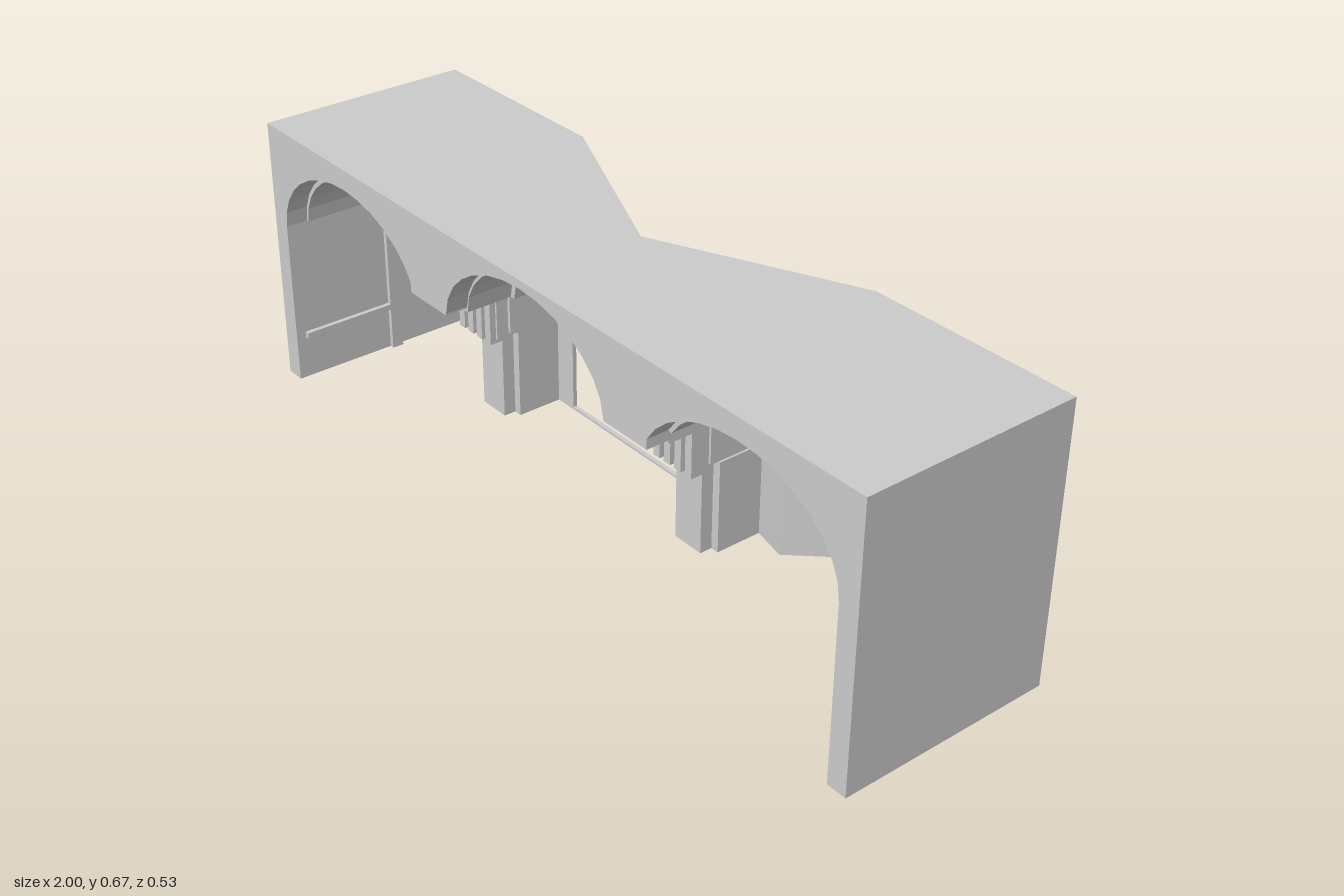
import * as THREE from 'three';

const mat = new THREE.MeshStandardMaterial({ color: 0xcccccc, flatShading: true, side: THREE.DoubleSide });
const TOP = 0.67, HZ = 0.265, BASE = 0.14;

// Points along an elliptical arch between two angles
function arc(cx, cy, rx, ry, a0, a1, n = 14) {
  const pts = [];
  for (let i = 0; i <= n; i++) {
    const a = a0 + (a1 - a0) * i / n;
    pts.push([cx + rx * Math.cos(a), cy + ry * Math.sin(a)]);
  }
  return pts;
}

function mesh(name, geo) {
  const m = new THREE.Mesh(geo, mat);
  m.name = name;
  return m;
}

const toShape = pts => new THREE.Shape(pts.map(p => new THREE.Vector2(p[0], p[1])));

// Upright slab from an outline in x and y, spanning z0 to z1
function slab(name, pts, z0, z1, holes = []) {
  const shape = toShape(pts);
  holes.forEach(h => shape.holes.push(toShape(h)));
  const geo = new THREE.ExtrudeGeometry(shape, { depth: z1 - z0, bevelEnabled: false });
  geo.translate(0, 0, z0);
  return mesh(name, geo);
}

function box(name, x0, x1, y0, y1, z0, z1) {
  const geo = new THREE.BoxGeometry(x1 - x0, y1 - y0, z1 - z0);
  geo.translate((x0 + x1) / 2, (y0 + y1) / 2, (z0 + z1) / 2);
  return mesh(name, geo);
}

// Curved strip between two concentric arches
function band(name, cx, cy, rx, ry, t, a0, a1, z0, z1) {
  const outer = arc(cx, cy, rx, ry, a0, a1);
  const inner = arc(cx, cy, rx - t, ry - t, a0, a1).reverse();
  return slab(name, outer.concat(inner), z0, z1);
}

// Sheet standing on a plan path, each point being [x, z, top]
function sheet(name, path) {
  const pos = [], idx = [];
  path.forEach(([x, z, top], i) => {
    pos.push(x, BASE, z, x, top, z);
    if (i) idx.push(2 * i - 2, 2 * i - 1, 2 * i, 2 * i, 2 * i - 1, 2 * i + 1);
  });
  const geo = new THREE.BufferGeometry();
  geo.setAttribute('position', new THREE.Float32BufferAttribute(pos, 3));
  geo.setIndex(idx);
  geo.computeVertexNormals();
  return mesh(name, geo);
}

// Everything repeated on both sides of the centre
function sideBay() {
  const g = new THREE.Group();

  g.add(box('outerWall', 0.95, 1, 0, TOP, -HZ, HZ));
  g.add(slab('backWall', [
    [0.375, BASE], [0.58, BASE], [0.58, 0.35], [0.67, 0.41], [0.83, 0.41], [0.91, 0.35],
    [0.91, 0], [1, 0], [1, TOP], [0.48, TOP], [0.375, 0.475],
  ], -HZ, -HZ + 0.02));

  // Side vault with two ribs
  g.add(band('sideVault', 0.67, 0.42, 0.285, 0.195, 0.012, 0, 2.75, -HZ + 0.01, 0.21));
  for (const z of [-0.2, 0.0])
    g.add(band('vaultRib', 0.67, 0.42, 0.28, 0.185, 0.018, 0, 2.6, z - 0.015, z + 0.015));

  // Faceted wall turning from the centre wall to the back wall
  g.add(sheet('turnedWall', [
    [0.375, -0.05, 0.46], [0.49, -0.024, 0.55], [0.56, -0.1, 0.59], [0.58, -0.15, 0.6], [0.58, -HZ, 0.6],
  ]));

  // Stepped pier and its ribbed capital
  g.add(box('pier', 0.285, 0.405, BASE, 0.36, -0.05, 0.07));
  g.add(box('pierFace', 0.305, 0.385, BASE, 0.36, 0.07, 0.1));
  g.add(box('capitalCore', 0.28, 0.4, 0.36, 0.47, -0.05, 0.13));
  for (let i = 0; i < 4; i++) {
    const x = 0.285 + i * 0.033;
    g.add(box('capitalRib', x, x + 0.02, 0.35, 0.465, 0.1, 0.145));
  }
  g.add(box('capitalBlock', 0.272, 0.41, 0.37, 0.46, -0.04, 0.1));
  g.add(box('soffit', 0.275, 0.41, 0.462, 0.485, -0.05, 0.21));

  // Pilasters and ledge on the outer wall
  g.add(box('backPilaster', 0.91, 0.95, 0, 0.42, -HZ, -0.225));
  g.add(box('wallPilaster', 0.938, 0.95, 0, 0.43, -0.03, 0.0));
  g.add(box('ledge', 0.938, 0.95, 0.11, 0.125, 0, 0.24));

  // Narrow framed niches facing each other
  for (const [x0, x1] of [[0.938, 0.95], [0.58, 0.59]]) {
    for (const z of [-0.2, -0.15]) g.add(box('nicheJamb', x0, x1, 0.16, 0.37, z - 0.006, z + 0.006));
    for (const y of [0.16, 0.37]) g.add(box('nicheRail', x0, x1, y - 0.006, y + 0.006, -0.206, -0.144));
  }
  return g;
}

export function createModel() {
  const model = new THREE.Group();
  model.name = 'arcade';

  // Roof with a notch at the back
  const roof = new THREE.ShapeGeometry(toShape([
    [-1, -HZ], [1, -HZ], [1, HZ], [0.48, HZ], [0, 0.05], [-0.48, HZ], [-1, HZ],
  ]));
  roof.rotateX(-Math.PI / 2);
  roof.translate(0, TOP, 0);
  model.add(mesh('roof', roof));

  // Front wall with three arches
  const right = arc(0.67, 0.42, 0.28, 0.2, 0, 2.76);
  const left = right.map(([x, y]) => [-x, y]).reverse();
  model.add(slab('frontWall', [
    [1, TOP], [1, 0], [0.95, 0], ...right, [0.41, 0.47], [0.275, 0.47],
    ...arc(0, 0.465, 0.275, 0.185, 0.05, Math.PI - 0.05),
    [-0.275, 0.47], [-0.41, 0.47], ...left, [-0.95, 0], [-1, 0], [-1, TOP],
  ], 0.205, HZ));

  // Centre vault and its ribs
  model.add(band('centreVault', 0, 0.46, 0.285, 0.19, 0.012, 0, Math.PI, -0.05, 0.21));
  for (const [z, t] of [[0.08, 0.02], [0.0, 0.035]])
    model.add(band('centreRib', 0, 0.46, 0.28, 0.185, t, 0, Math.PI, z - 0.015, z + 0.015));

  // Centre wall with its doorway, thin sill and lunette moulding
  model.add(slab('centreWall', [
    [-0.375, BASE], [0.375, BASE], [0.375, 0.46], [0, TOP], [-0.375, 0.46],
  ], -0.05, -0.04, [[
    [-0.23, 0.146], [0.23, 0.146], [0.23, 0.34], [0.19, 0.39], [0.1, 0.43],
    [-0.1, 0.43], [-0.19, 0.39], [-0.23, 0.34],
  ]]));
  model.add(band('lunetteArch', 0, 0.46, 0.2, 0.12, 0.02, 0, Math.PI, -0.04, -0.02));
  model.add(box('lunetteLedge', -0.21, 0.21, 0.45, 0.465, -0.04, -0.015));

  const bay = sideBay();
  bay.name = 'leftBay';
  const mirrored = sideBay();
  mirrored.name = 'rightBay';
  mirrored.scale.x = -1;
  model.add(bay, mirrored);
  return model;
}
